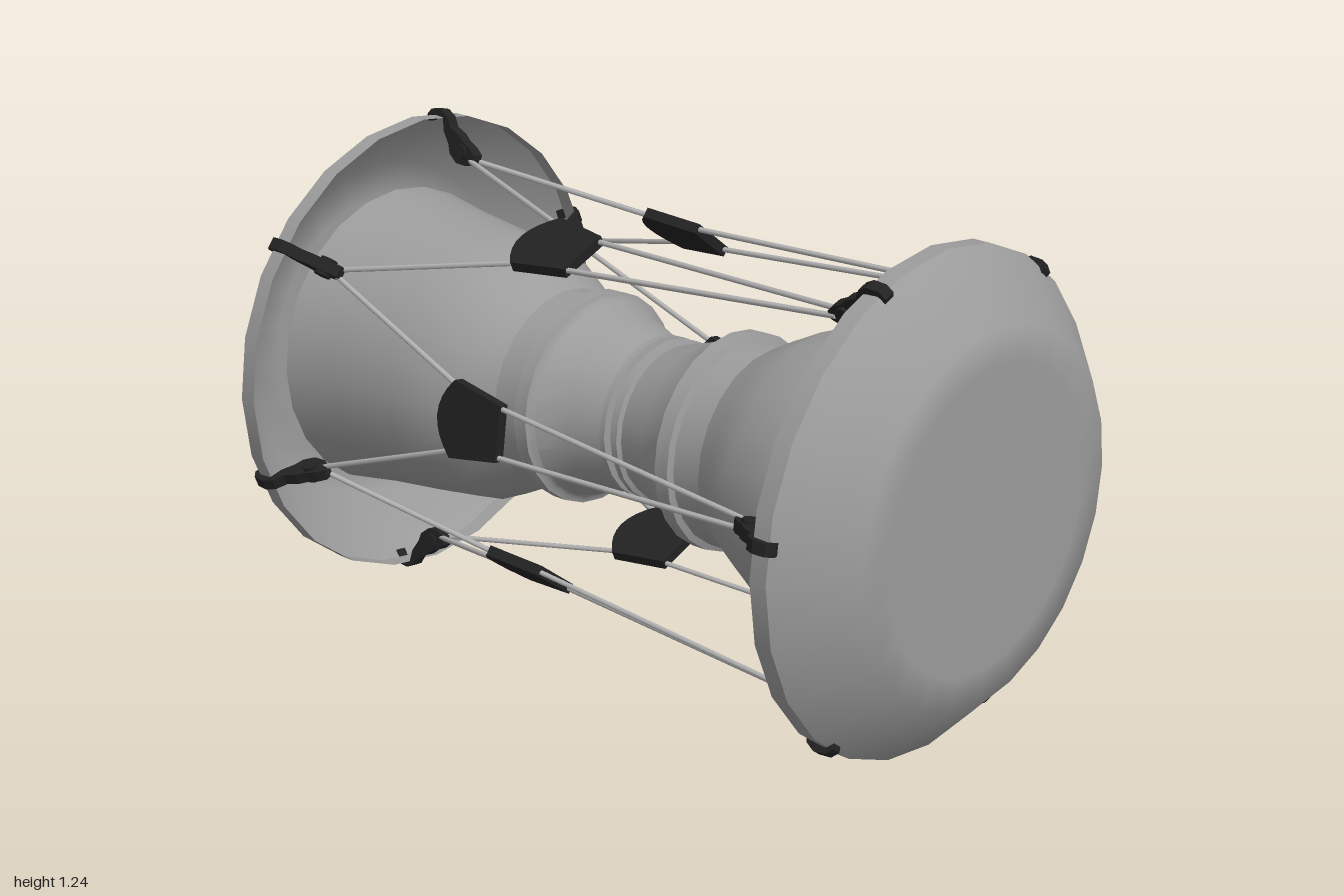
import * as THREE from 'three';
import { toCreasedNormals } from 'three/addons/utils/BufferGeometryUtils.js';

const AXIS_Y = 0.62;

export function createModel() {
  const shellGrey = new THREE.MeshStandardMaterial({ color: 0x9c9c9c, side: THREE.DoubleSide });
  shellGrey.name = 'shellGrey';
  const cordGrey = new THREE.MeshStandardMaterial({ color: 0xb4b4b4 });
  cordGrey.name = 'cordGrey';
  const black = new THREE.MeshStandardMaterial({ color: 0x222222 });
  black.name = 'blackLeather';

  const model = new THREE.Group();
  model.name = 'hourglassDrum';
  const drum = new THREE.Group();
  drum.name = 'drum';
  drum.position.y = AXIS_Y;
  model.add(drum);

  const add = (parent, name, geometry, material) => {
    const mesh = new THREE.Mesh(geometry, material);
    mesh.name = name;
    parent.add(mesh);
    return mesh;
  };

  // Turned part around the x axis; profile is [x, radius] with x increasing
  const turn = (profile) => new THREE.LatheGeometry(
    profile.map(([x, r]) => new THREE.Vector2(r, x)), 24).rotateZ(-Math.PI / 2);

  // Hourglass body, mirrored about its waist
  const half = [
    [0.008, 0.187], [0.012, 0.205], [0.028, 0.205], [0.033, 0.193],
    [0.12, 0.22], [0.202, 0.25], [0.209, 0.258], [0.213, 0.272], [0.252, 0.272], [0.258, 0.256],
    [0.335, 0.256], [0.4, 0.292], [0.485, 0.335], [0.62, 0.354], [0.8, 0.375], [0.95, 0.4],
  ];
  const profile = [...half.map(([d, r]) => [-d, r]).reverse(), ...half];
  const body = add(drum, 'body', toCreasedNormals(turn(profile), 0.5), shellGrey);
  body.position.x = 0.02;

  // Open-backed drum heads: a hoop and a dished skin
  const hoopGeo = turn([[0.812, 0.61], [0.857, 0.61]]);
  const skinGeo = turn([[0.857, 0.61], [0.998, 0.457], [1, 0.37], [1, 0]]);
  for (const side of [1, -1]) {
    const head = new THREE.Group();
    head.name = side > 0 ? 'leftHead' : 'rightHead';
    if (side < 0) head.rotation.y = Math.PI;
    add(head, 'hoop', hoopGeo, shellGrey);
    add(head, 'skin', skinGeo, shellGrey);
    drum.add(head);
  }

  // Hook outline in x and radius, gripping the hoop
  const outline = [
    [0.868, 0.588], [0.873, 0.605], [0.858, 0.622], [0.825, 0.625], [0.8, 0.612],
    [0.785, 0.585], [0.755, 0.572], [0.735, 0.555], [0.71, 0.543], [0.692, 0.527],
    [0.695, 0.505], [0.72, 0.495], [0.755, 0.497], [0.78, 0.517], [0.787, 0.54],
    [0.808, 0.572], [0.815, 0.606], [0.853, 0.608],
  ];
  const hookGeo = new THREE.ExtrudeGeometry(
    new THREE.Shape(outline.map(([x, r]) => new THREE.Vector2(x, r))),
    { depth: 0.03, bevelEnabled: false }).translate(0, 0, -0.015);
  const knotGeo = new THREE.CylinderGeometry(0.022, 0.022, 0.046, 8)
    .rotateX(Math.PI / 2).translate(0.74, 0.528, 0);

  const addHook = (side, angle) => {
    const hook = new THREE.Group();
    hook.name = 'hook';
    add(hook, 'hookPlate', hookGeo, black);
    add(hook, 'hookKnot', knotGeo, black);
    if (side < 0) hook.rotation.y = Math.PI;
    const turned = new THREE.Group();
    turned.name = side > 0 ? 'leftHook' : 'rightHook';
    turned.rotation.x = angle;
    turned.add(hook);
    drum.add(turned);
  };

  // Straight cord piece between two points
  const up = new THREE.Vector3(0, 1, 0);
  const addCord = (parent, a, b) => {
    const dir = b.clone().sub(a);
    const cord = add(parent, 'cord',
      new THREE.CylinderGeometry(0.007, 0.007, dir.length(), 6), cordGrey);
    cord.position.copy(a).add(b).multiplyScalar(0.5);
    cord.quaternion.setFromUnitVectors(up, dir.normalize());
  };

  // Tuning sleeve that pinches two cords together
  const sleeveShape = new THREE.Shape();
  sleeveShape.moveTo(-0.08, -0.07);
  sleeveShape.lineTo(-0.08, 0.07);
  sleeveShape.lineTo(-0.235, 0.097);
  sleeveShape.quadraticCurveTo(-0.335, 0, -0.235, -0.097);
  sleeveShape.closePath();
  const sleeveGeo = new THREE.ExtrudeGeometry(sleeveShape,
    { depth: 0.026, bevelEnabled: false, curveSegments: 8 })
    .rotateX(Math.PI / 2).translate(0, 0.483, 0);

  // Six lacing sections; the hooks of the two heads are staggered by 30 degrees
  const step = Math.PI / 6;
  for (let i = 0; i < 6; i++) {
    const angle = THREE.MathUtils.degToRad(22) + i * 2 * step;
    addHook(1, angle);
    addHook(-1, angle + step);
    const lacing = new THREE.Group();
    lacing.name = 'lacing';
    lacing.rotation.x = angle;
    drum.add(lacing);
    add(lacing, 'tuningSleeve', sleeveGeo, black);
    for (const s of [1, -1]) {
      const path = [
        [-0.71, 0.515 * Math.cos(step), s * (0.515 * Math.sin(step) - 0.01)],
        [-0.25, 0.468, s * 0.085],
        [-0.08, 0.472, s * 0.06],
        [0.71, 0.515, s * 0.012],
      ].map((p) => new THREE.Vector3(...p));
      for (let k = 0; k < 3; k++) addCord(lacing, path[k], path[k + 1]);
    }
  }
  return model;
}
